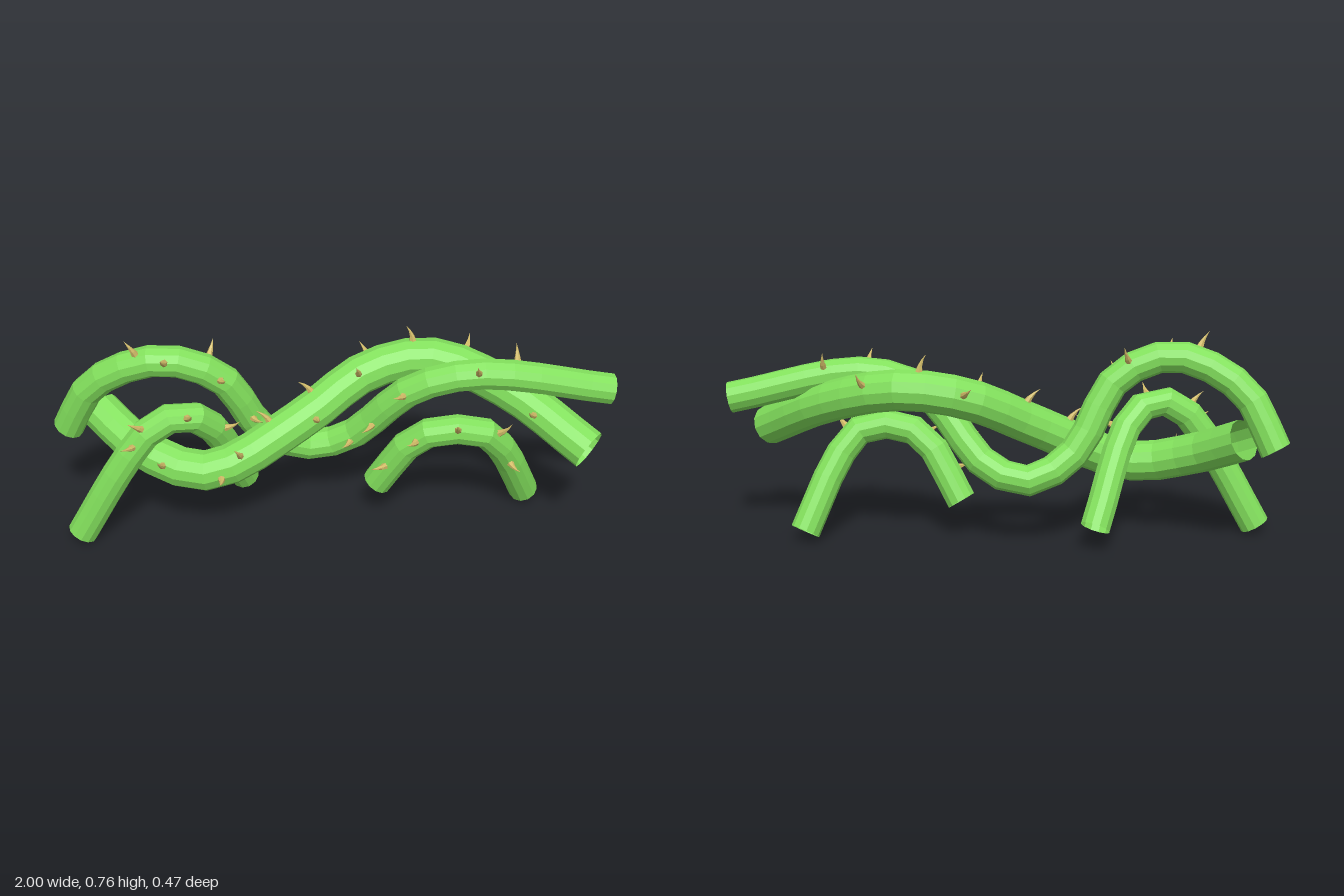
import * as THREE from 'three';

const green = new THREE.MeshStandardMaterial({ color: 0x82e05c, side: THREE.DoubleSide, flatShading: true });
green.name = 'vineGreen';
const tan = new THREE.MeshStandardMaterial({ color: 0xd2bc68, flatShading: true });
tan.name = 'thornTan';

const at = (x, y, z) => new THREE.Vector3(x, y, z);

// Small hooked thorn standing on y = 0, bending towards +x
function thornGeometry() {
  const g = new THREE.ConeGeometry(0.014, 0.066, 6, 3);
  g.translate(0, 0.033, 0);
  const p = g.attributes.position;
  for (let i = 0; i < p.count; i++) p.setX(i, p.getX(i) + 5 * p.getY(i) ** 2);
  g.computeVertexNormals();
  return g;
}

// Curve parameter at a given x (every vine runs steadily left to right)
function parameterAtX(curve, x) {
  let lo = 0, hi = 1;
  for (let i = 0; i < 20; i++) {
    const mid = (lo + hi) / 2;
    if (curve.getPointAt(mid).x < x) lo = mid; else hi = mid;
  }
  return lo;
}

// Thorn at a given x, turned from the top (0) towards the front (90)
function makeThorn(geometry, curve, x, radius, degrees) {
  const t = parameterAtX(curve, x);
  const along = curve.getTangentAt(t);
  const front = at(0, 0, 1).addScaledVector(along, -along.z).normalize();
  const up = front.clone().cross(along);
  const angle = THREE.MathUtils.degToRad(degrees);
  const out = up.clone().multiplyScalar(Math.cos(angle)).addScaledVector(front, Math.sin(angle));
  // Hook upward and slightly back along the stem
  const hook = up.addScaledVector(along, -0.4);
  hook.addScaledVector(out, -hook.dot(out)).normalize();
  const thorn = new THREE.Mesh(geometry, tan);
  thorn.name = 'thorn';
  thorn.quaternion.setFromRotationMatrix(
    new THREE.Matrix4().makeBasis(hook, out, hook.clone().cross(out)));
  thorn.position.copy(curve.getPointAt(t)).addScaledVector(out, radius - 0.008);
  return thorn;
}

// Open-ended stem with thorns given as [x, angle]
function makeVine(name, radius, segments, path, thorns) {
  const group = new THREE.Group();
  group.name = name;
  const curve = new THREE.CatmullRomCurve3(path);
  const stem = new THREE.Mesh(new THREE.TubeGeometry(curve, segments, radius, 12, false), green);
  stem.name = name + 'Stem';
  group.add(stem);
  const geometry = thornGeometry();
  for (const [x, degrees] of thorns) group.add(makeThorn(geometry, curve, x, radius, degrees));
  return group;
}

export function createModel() {
  const model = new THREE.Group();
  model.name = 'thornyVines';

  // Long vine that loops high, dips low and runs out to the side
  model.add(makeVine('wavyVine', 0.056, 26, [
    at(-0.955, 0.355, -0.06), at(-0.84, 0.56, -0.01), at(-0.6, 0.668, 0.033),
    at(-0.4, 0.59, 0.018), at(-0.25, 0.33, -0.05), at(-0.09, 0.24, -0.1),
    at(0.06, 0.29, -0.08), at(0.28, 0.53, 0.01), at(0.5, 0.595, 0.03),
    at(0.985, 0.505, -0.013),
  ], [[-0.67, 25], [-0.585, 75], [-0.45, -50], [-0.41, 75], [-0.31, 70],
    [0.07, 85], [0.15, 80], [0.26, 70], [0.5, 60], [0.64, -45]]));

  // Thickest vine, weaving from front to back and forward again
  model.add(makeVine('thickVine', 0.073, 22, [
    at(-0.84, 0.4, -0.095), at(-0.68, 0.315, 0.04), at(-0.45, 0.265, 0.11),
    at(-0.12, 0.41, 0.01), at(0.12, 0.535, -0.115), at(0.35, 0.57, -0.145),
    at(0.62, 0.5, -0.03), at(0.885, 0.363, 0.169),
  ], [[-0.68, 80], [-0.59, 75], [-0.41, 95], [-0.33, 55], [-0.2, 5], [-0.09, 90],
    [-0.05, 5], [0.08, 60], [0.15, -70], [0.29, 0], [0.45, -55], [0.5, 110], [0.73, 90]]));

  // Two short arches
  model.add(makeVine('leftArch', 0.054, 12, [
    at(-0.91, 0.025, 0.132), at(-0.74, 0.32, 0.14), at(-0.64, 0.45, 0.13),
    at(-0.54, 0.49, 0.11), at(-0.45, 0.43, 0.06), at(-0.33, 0.085, -0.142),
  ], [[-0.69, 70], [-0.65, 45], [-0.53, 70], [-0.43, 25], [-0.41, 80]]));
  model.add(makeVine('rightArch', 0.054, 9, [
    at(0.155, 0.135, -0.005), at(0.29, 0.35, 0.05), at(0.4, 0.395, 0.07),
    at(0.53, 0.375, 0.06), at(0.605, 0.28, 0.015), at(0.71, 0.035, -0.095),
  ], [[0.21, 55], [0.3, 75], [0.43, 65], [0.55, 35], [0.62, 85]]));

  return model;
}
